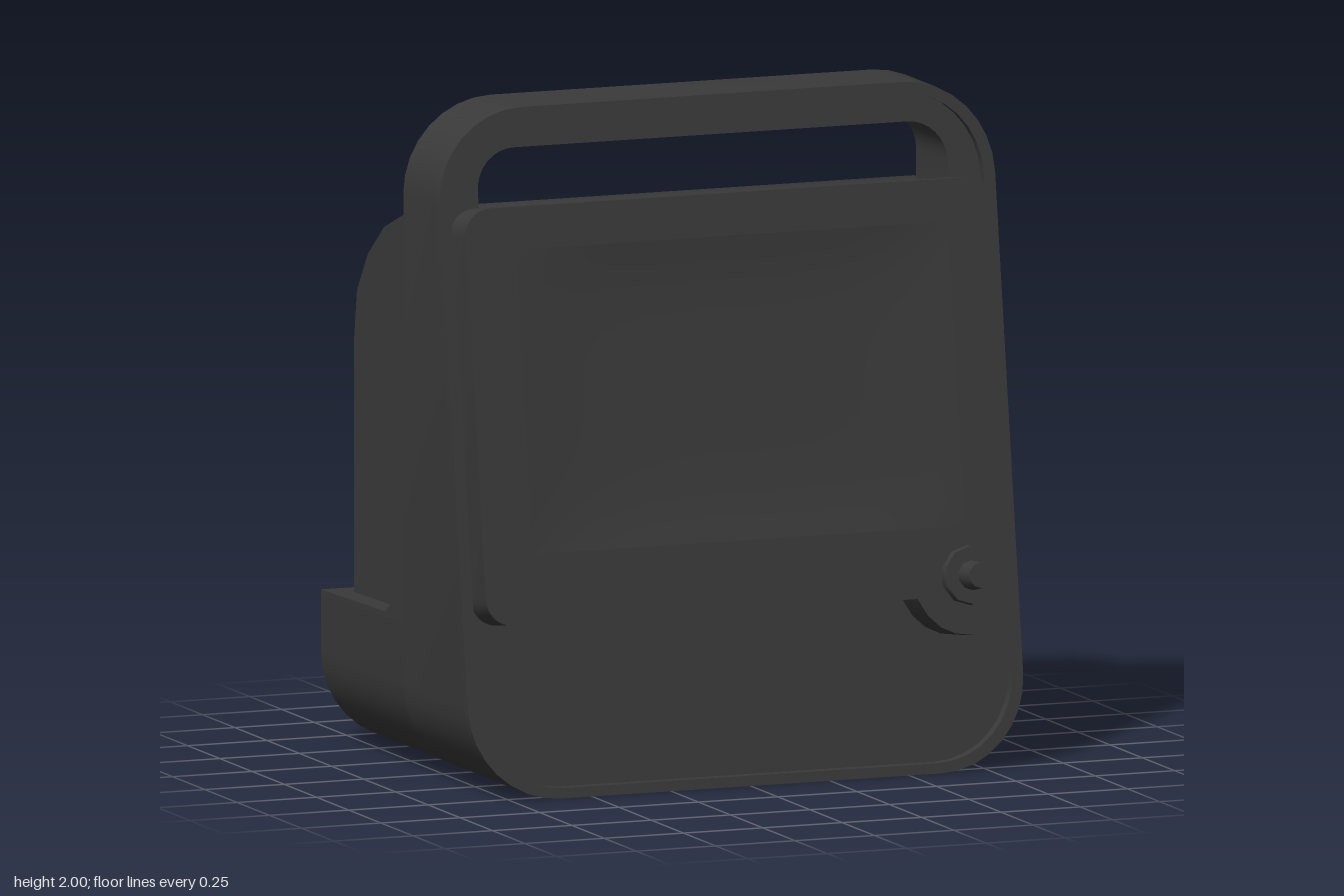
import * as THREE from 'three';
import { toCreasedNormals } from 'three/addons/utils/BufferGeometryUtils.js';

const W = 0.875, FRONT = 0.54, SLOPE = 0.15, LIP = 0.03;
const material = new THREE.MeshStandardMaterial({ color: 0x3a3a3a });

function add(parent, name, geometry, crease = 0.7) {
  const mesh = new THREE.Mesh(toCreasedNormals(geometry, crease), material);
  mesh.name = name;
  parent.add(mesh);
  return mesh;
}

// Rounded rectangle, usable as an outline or a hole
function roundRect(x0, y0, x1, y1, r, rBottom = r, Type = THREE.Shape) {
  const s = new Type();
  s.moveTo(x0 + rBottom, y0);
  s.lineTo(x1 - rBottom, y0);
  if (rBottom) s.absarc(x1 - rBottom, y0 + rBottom, rBottom, -Math.PI / 2, 0);
  s.lineTo(x1, y1 - r);
  if (r) s.absarc(x1 - r, y1 - r, r, 0, Math.PI / 2);
  s.lineTo(x0 + r, y1);
  if (r) s.absarc(x0 + r, y1 - r, r, Math.PI / 2, Math.PI);
  s.lineTo(x0, y0 + rBottom);
  if (rBottom) s.absarc(x0 + rBottom, y0 + rBottom, rBottom, Math.PI, Math.PI * 1.5);
  return s;
}

const extrude = (shape, depth, options = {}) =>
  new THREE.ExtrudeGeometry(shape, { depth, curveSegments: 4, bevelEnabled: false, ...options });

// Move every vertex by a rule
function reshape(geometry, rule) {
  const p = geometry.attributes.position, v = new THREE.Vector3();
  for (let i = 0; i < p.count; i++) {
    rule(v.fromBufferAttribute(p, i));
    p.setXYZ(i, v.x, v.y, v.z);
  }
  geometry.computeVertexNormals();
  return geometry;
}

// Side profile (depth backwards, height) swept across the width
function sweepAcross(points, x0, x1, options) {
  const shape = new THREE.Shape(points.map(([d, y]) => new THREE.Vector2(d, y)));
  return extrude(shape, x1 - x0, options).rotateY(Math.PI / 2).translate(x0, 0, 0);
}

export function createModel() {
  const model = new THREE.Group();
  model.name = 'portableDevice';
  const frontAt = (y) => FRONT - SLOPE * y;

  // Leaning frame with the handle opening
  const outline = roundRect(-W, 0, W, 2, 0.275);
  outline.holes.push(roundRect(-0.74, 1.64, 0.74, 1.88, 0.12, 0.03, THREE.Path));
  add(model, 'frame', reshape(extrude(outline, 1), (v) => {
    v.z = v.z > 0.5 ? frontAt(v.y) - LIP : 0;
  }));

  // Raised lip around the front edge
  const rim = roundRect(-W, 0, W, 2, 0.275);
  rim.holes.push(roundRect(-W + 0.035, 0.03, W - 0.035, 1.97, 0.25, 0.25, THREE.Path));
  add(model, 'frontLip', reshape(extrude(rim, 1), (v) => {
    v.z = frontAt(v.y) - (v.z > 0.5 ? 0 : LIP);
  }));

  // Base reaching backwards, its top falling slightly to the rear
  add(model, 'base', reshape(extrude(roundRect(-W, 0, W, 0.47, 0, 0.275), 0.64).translate(0, 0, -0.64), (v) => {
    if (v.y > 0.4 && v.z < -0.5) v.y -= 0.014;
  }));

  // Curved transition between frame and base
  add(model, 'baseFillet', sweepAcross(
    [[-0.02, 0.44], [0.14, 0.468], [0.09, 0.5], [0.05, 0.54], [0.02, 0.6], [0.004, 0.66], [0, 0.75], [-0.02, 0.75]],
    -W, W));

  // Rear housing with a domed top and chamfered sides
  add(model, 'rearHousing', sweepAcross(
    [[-0.2, 0.4], [0.548, 0.4], [0.548, 1.2], [0.525, 1.355], [0.44, 1.475], [0.315, 1.573], [0.14, 1.64], [0, 1.655], [-0.2, 1.655]],
    -0.78, 0.79,
    { bevelEnabled: true, bevelSize: 0.014, bevelThickness: 0.028, bevelSegments: 1 }), 0.6);

  // Front parts share the lean of the frame
  const face = new THREE.Group();
  face.name = 'frontPanel';
  face.position.z = FRONT;
  face.rotation.x = -Math.atan(SLOPE);
  model.add(face);

  // Panel outline with a round lobe below the dial
  const T = 0.092, x0 = -0.835, x1 = 0.825, top = 1.735, low = 0.515, r = 0.08;
  const dial = { x: 0.685, y: 0.575 };
  const panel = new THREE.Shape();
  panel.moveTo(x0 + r, low);
  panel.lineTo(0.52, low);
  panel.quadraticCurveTo(0.57, 0.4, 0.69, 0.4);
  panel.quadraticCurveTo(0.81, 0.41, x1, 0.52);
  panel.lineTo(x1, top - r);
  panel.absarc(x1 - r, top - r, r, 0, Math.PI / 2);
  panel.lineTo(x0 + r, top);
  panel.absarc(x0 + r, top - r, r, Math.PI / 2, Math.PI);
  panel.lineTo(x0, low + r);
  panel.absarc(x0 + r, low + r, r, Math.PI, Math.PI * 1.5);
  const sw = 0.68, sy0 = 0.72, sy1 = 1.61;
  panel.holes.push(roundRect(-sw, sy0, sw, sy1, 0, 0, THREE.Path));
  add(face, 'panel', extrude(panel, T + 0.04).translate(0, 0, -0.04));

  // Shallow dished screen
  const screen = reshape(new THREE.PlaneGeometry(2, 2, 20, 16), (v) => {
    v.z = -0.02 * (1 - v.x ** 4) * (1 - v.y ** 4);
  });
  screen.scale(sw, (sy1 - sy0) / 2, 1).translate(0, (sy0 + sy1) / 2, T);
  add(face, 'screen', screen);

  // Dial plate and knob
  const turned = (rTop, rBottom, h, sides) =>
    new THREE.CylinderGeometry(rTop, rBottom, h, sides).rotateX(Math.PI / 2)
      .translate(dial.x, dial.y, T + h / 2);
  add(face, 'dialPlate', turned(0.085, 0.088, 0.026, 10));
  add(face, 'dialKnob', turned(0.038, 0.046, 0.098, 10));

  return model;
}
